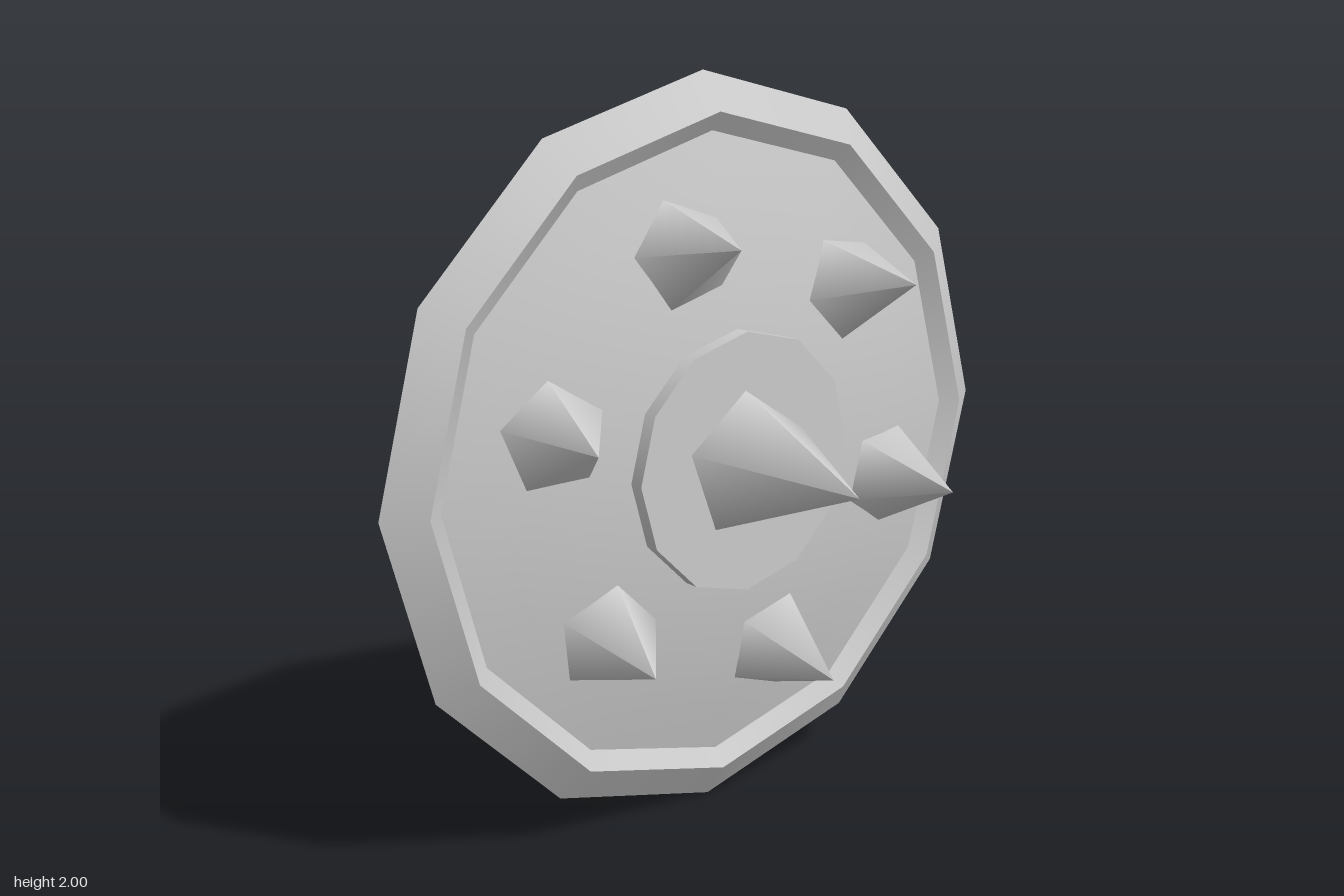
import * as THREE from 'three';

const material = new THREE.MeshStandardMaterial({ color: 0xcccccc });
const SIDES = 12;

// Shallow dome curves: z at radius r on the front and the back of the plate
const frontZ = (r) => -0.035 - 0.164 * r * r;
const backZ = (r) => -0.095 - 0.13 * r * r;

function addMesh(parent, name, geometry) {
  const mesh = new THREE.Mesh(geometry, material);
  mesh.name = name;
  parent.add(mesh);
  return mesh;
}

// Ring or disc turned about z from [radius, z] points
function turned(points) {
  const profile = points.map(([r, z]) => new THREE.Vector2(r, z));
  return new THREE.LatheGeometry(profile, SIDES).rotateX(Math.PI / 2);
}

function domeProfile(radius, heightAt, steps = 6) {
  return Array.from({ length: steps + 1 }, (_, i) => {
    const r = (radius * i) / steps;
    return [r, heightAt(r)];
  });
}

// Five-sided spike pointing along +z, one corner towards +x, base at z = 0
function spikeGeometry(radius, height) {
  return new THREE.ConeGeometry(radius, height, 5)
    .rotateX(Math.PI / 2)
    .rotateZ(Math.PI / 2)
    .translate(0, 0, height / 2);
}

// Rounded C-shaped grip running out of the back
function handleGeometry() {
  const top = 1.305, bottom = 0.87, out = -0.36, bend = 0.11;
  const p = (y, z) => new THREE.Vector3(0, y - 1, z);
  const path = new THREE.CurvePath();
  path.add(new THREE.LineCurve3(p(top, -0.1), p(top, out + bend)));
  path.add(new THREE.QuadraticBezierCurve3(p(top, out + bend), p(top, out), p(top - bend, out)));
  path.add(new THREE.LineCurve3(p(top - bend, out), p(bottom + bend, out)));
  path.add(new THREE.QuadraticBezierCurve3(p(bottom + bend, out), p(bottom, out), p(bottom, out + bend)));
  path.add(new THREE.LineCurve3(p(bottom, out + bend), p(bottom, -0.1)));
  return new THREE.TubeGeometry(path, 28, 0.05, 10, false);
}

export function createModel() {
  const model = new THREE.Group();
  model.name = 'spikedShield';
  const shield = new THREE.Group();
  shield.name = 'shield';
  shield.position.y = 1;
  model.add(shield);

  // Plate: separate bands keep the rim edges sharp
  addMesh(shield, 'backFace', turned(domeProfile(0.98, backZ)));
  addMesh(shield, 'rimEdge', turned([[0.98, -0.22], [1, -0.19]]));
  addMesh(shield, 'rimBevel', turned([[1, -0.19], [0.9, -0.12]]));
  addMesh(shield, 'rimInnerStep', turned([[0.9, -0.12], [0.85, frontZ(0.85)]]));
  addMesh(shield, 'frontFace', turned(domeProfile(0.85, frontZ).reverse()));

  // Raised centre disc and its large spike
  const boss = new THREE.CylinderGeometry(0.35, 0.35, 0.055, SIDES)
    .rotateX(Math.PI / 2)
    .translate(0, 0, -0.0425);
  addMesh(shield, 'boss', boss);
  const centreSpike = addMesh(shield, 'centreSpike', spikeGeometry(0.195, 0.425));
  centreSpike.position.z = -0.015;
  centreSpike.rotation.z = THREE.MathUtils.degToRad(92);

  // Ring of six small spikes leaning outwards with the dome
  const smallSpike = spikeGeometry(0.145, 0.25);
  for (let i = 0; i < 6; i++) {
    const arm = new THREE.Group();
    arm.name = `spikeArm${i + 1}`;
    arm.rotation.z = Math.PI / 4 + (i * Math.PI) / 3;
    shield.add(arm);
    const spike = addMesh(arm, 'ringSpike', smallSpike);
    spike.position.set(0.576, 0, frontZ(0.576) - 0.005);
    spike.rotation.y = 0.185;
  }

  // Pair of grips on the back
  const handle = handleGeometry();
  for (const [name, side] of [['leftHandle', 1], ['rightHandle', -1]]) {
    addMesh(shield, name, handle).position.x = side * 0.347;
  }
  return model;
}
